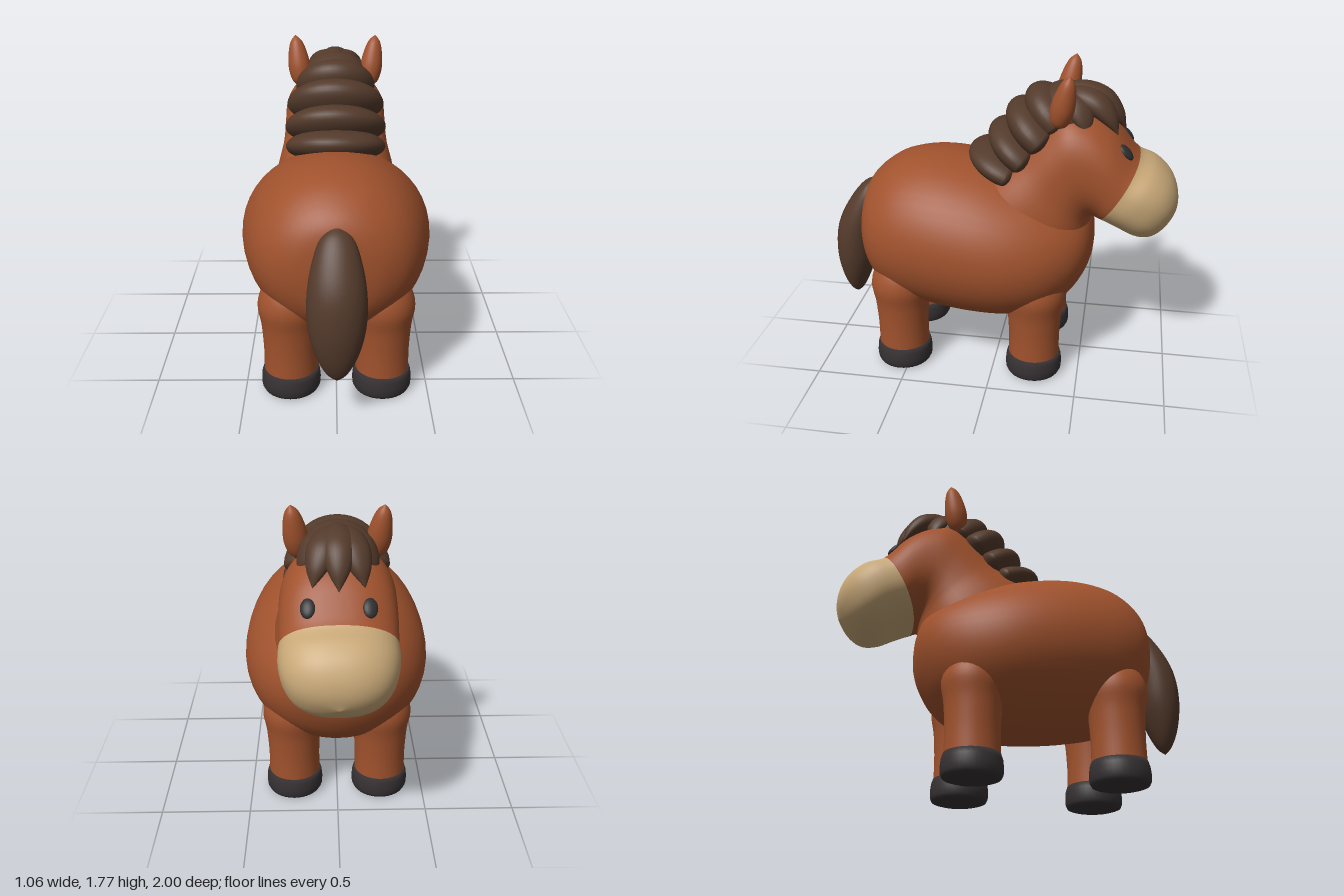
import * as THREE from 'three';

const mat = (name, color, side = THREE.FrontSide) => {
  const m = new THREE.MeshStandardMaterial({ color, side });
  m.name = name;
  return m;
};

// Loft through mirrored cross-sections [zTop, yTop, zBottom, yBottom, halfWidth].
// power < 1 makes the sections squarer; splitAt starts a second material group.
function loft(sections, { power = 1, splitAt = 0, steps = 5, sides = 36 } = {}) {
  const top = new THREE.CatmullRomCurve3(sections.map(s => new THREE.Vector3(s[4], s[1], s[0])));
  const bottom = new THREE.CatmullRomCurve3(sections.map(s => new THREE.Vector3(s[4], s[3], s[2])));
  const rings = (sections.length - 1) * steps;
  const bend = v => Math.sign(v) * Math.abs(v) ** power;
  const pos = [], index = [];
  for (let i = 0; i <= rings; i++) {
    const a = top.getPoint(i / rings), b = bottom.getPoint(i / rings);
    const w = Math.max(0, (a.x + b.x) / 2);
    for (let j = 0; j < sides; j++) {
      const t = (j / sides) * Math.PI * 2;
      const c = bend(Math.cos(t)), s = bend(Math.sin(t));
      pos.push(w * s, (a.y + b.y) / 2 + c * (a.y - b.y) / 2, (a.z + b.z) / 2 + c * (a.z - b.z) / 2);
      if (i < rings) {
        const k = (j + 1) % sides, p = i * sides, q = p + sides;
        index.push(p + j, p + k, q + j, p + k, q + k, q + j);
      }
    }
  }
  const g = new THREE.BufferGeometry();
  g.setAttribute('position', new THREE.Float32BufferAttribute(pos, 3));
  g.setIndex(index);
  g.computeVertexNormals();
  if (splitAt) {
    const cut = splitAt * steps * sides * 6;
    g.addGroup(0, cut, 0);
    g.addGroup(cut, index.length - cut, 1);
  }
  return g;
}

// Smooth lathe through [radius, y] points
function turned(points, smooth = true) {
  let pts = points.map(p => new THREE.Vector2(...p));
  if (smooth) pts = new THREE.SplineCurve(pts).getPoints(24).map(p => p.set(Math.max(0, p.x), p.y));
  return new THREE.LatheGeometry(pts, 36);
}

export function createModel() {
  const root = new THREE.Group();
  root.name = 'pony';
  const hide = mat('chestnut hide', 0xa0522d);
  const hair = mat('dark brown hair', 0x533a2b);
  const tan = mat('tan muzzle', 0xc8a878);
  const hoofMat = mat('charcoal hoof', 0x363133);
  const eyeMat = mat('dark eye', 0x2e2e30);

  const add = (name, geometry, material, parent = root) => {
    const m = new THREE.Mesh(geometry, material);
    m.name = name;
    parent.add(m);
    return m;
  };

  // Barrel body, rump to chest: [z, yTop, yBottom, halfWidth]
  const body = [
    [0.795, 0.8, 0.8, 0], [0.785, 0.93, 0.68, 0.14], [0.755, 1.05, 0.55, 0.26],
    [0.68, 1.14, 0.45, 0.37], [0.55, 1.22, 0.37, 0.45], [0.35, 1.255, 0.325, 0.505],
    [0.1, 1.23, 0.3, 0.53], [-0.1, 1.18, 0.305, 0.515], [-0.28, 1.12, 0.35, 0.455],
    [-0.42, 1.05, 0.45, 0.36], [-0.5, 0.97, 0.57, 0.26], [-0.54, 0.87, 0.68, 0.14],
    [-0.55, 0.78, 0.78, 0],
  ].map(([z, t, b, w]) => [z, t, z, b, w]);
  add('body', loft(body, { sides: 48 }), hide);

  // Neck, head and muzzle in one skin, the muzzle in tan
  const head = [
    [0.2, 1.08, -0.46, 0.72, 0.36], [0.05, 1.2, -0.52, 0.83, 0.34],
    [-0.1, 1.32, -0.53, 0.92, 0.31], [-0.24, 1.47, -0.535, 0.94, 0.3],
    [-0.36, 1.56, -0.54, 0.94, 0.3], [-0.5, 1.54, -0.545, 0.94, 0.3],
    [-0.63, 1.46, -0.55, 0.94, 0.3], [-0.775, 1.3, -0.56, 0.94, 0.3],
    [-0.87, 1.26, -0.65, 0.9, 0.3], [-0.945, 1.195, -0.745, 0.85, 0.275],
    [-0.985, 1.12, -0.825, 0.835, 0.225], [-0.998, 1.04, -0.9, 0.865, 0.14],
    [-0.98, 0.95, -0.98, 0.95, 0],
  ];
  add('head', loft(head, { power: 0.87, splitAt: 7, sides: 48 }), [hide, tan]);

  // Tail
  const tail = [
    [0.73, 1.06, 0.73, 1.06, 0], [0.71, 0.98, 0.81, 1.02, 0.08], [0.72, 0.86, 0.9, 0.91, 0.125],
    [0.745, 0.7, 0.975, 0.76, 0.15], [0.765, 0.54, 0.998, 0.58, 0.145], [0.81, 0.41, 0.975, 0.41, 0.105],
    [0.86, 0.31, 0.935, 0.31, 0.05], [0.9, 0.27, 0.9, 0.27, 0],
  ];
  add('tail', loft(tail), hair);

  // Legs and hooves
  const legShape = turned([[0.147, 0.12], [0.146, 0.25], [0.155, 0.4], [0.172, 0.52], [0.14, 0.62], [0.07, 0.68], [0, 0.69]]);
  const hoofShape = turned([[0, 0], [0.13, 0], [0.152, 0.007], [0.161, 0.025], [0.163, 0.06],
    [0.159, 0.1], [0.15, 0.13], [0, 0.131]], false);
  for (const [end, z] of [['front', -0.24], ['back', 0.54]]) {
    for (const [side, x] of [['Left', -0.25], ['Right', 0.25]]) {
      const leg = new THREE.Group();
      leg.name = `${end}${side}Leg`;
      leg.position.set(x, 0, z);
      add('leg', legShape, hide, leg);
      add('hoof', hoofShape, hoofMat, leg);
      root.add(leg);
    }
  }

  // Mane layers wrap the back of the neck: side end [z, y], back end [z, y], half-width, half-thickness
  [
    [-0.06, 1.2, 0.14, 1.275, 0.285, 0.1],
    [-0.14, 1.29, 0.025, 1.405, 0.29, 0.11],
    [-0.23, 1.4, -0.075, 1.53, 0.28, 0.12],
    [-0.31, 1.49, -0.18, 1.62, 0.23, 0.12],
  ].forEach(([z0, y0, z1, y1, w, h], i) => {
    const g = new THREE.SphereGeometry(1, 40, 24);
    const p = g.attributes.position;
    for (let k = 0; k < p.count; k++) if (p.getZ(k) < 0) p.setZ(k, p.getZ(k) * 0.3);
    g.scale(w, h, Math.hypot(z1 - z0, y1 - y0) + 0.03);
    g.computeVertexNormals();
    const layer = add(`maneLayer${i + 1}`, g, hair);
    layer.position.set(0, y0, z0);
    layer.rotation.x = -Math.atan2(y1 - y0, z1 - z0);
  });
  const crown = add('maneCrown', new THREE.SphereGeometry(1, 36, 24), hair);
  crown.scale.set(0.2, 0.17, 0.17);
  crown.position.set(0, 1.51, -0.36);

  // Forelock strands fanned from the crown
  const lock = loft([
    [0.05, 0.1, 0.05, 0.1, 0], [-0.02, 0.175, 0, 0.02, 0.06], [-0.14, 0.185, -0.12, 0.05, 0.085],
    [-0.25, 0.14, -0.2, 0.02, 0.08], [-0.32, 0.04, -0.27, -0.02, 0.05], [-0.34, -0.07, -0.34, -0.07, 0],
  ], { sides: 24 });
  for (const [angle, length, height] of [[0, 1, 1], [0.4, 0.96, 0.93], [-0.4, 0.96, 0.93], [0.95, 0.72, 0.8], [-0.95, 0.72, 0.8]]) {
    const strand = add('forelockStrand', lock, hair);
    strand.position.set(0, 1.5, -0.35);
    strand.rotation.y = angle;
    strand.scale.set(1, height, length);
  }

  // Ears and eyes
  const earShape = turned([[0, 0], [0.045, 0.03], [0.063, 0.1], [0.057, 0.18], [0.035, 0.26], [0, 0.3]]);
  const eyeShape = new THREE.SphereGeometry(1, 24, 16);
  for (const [side, s] of [['left', -1], ['right', 1]]) {
    const ear = add(`${side}Ear`, earShape, hide);
    ear.position.set(s * 0.195, 1.48, -0.335);
    ear.rotation.set(-0.2, 0, -s * 0.13);
    const eye = add(`${side}Eye`, eyeShape, eyeMat);
    eye.scale.set(0.038, 0.02, 0.052);
    eye.position.set(s * 0.15, 1.352, -0.697);
    eye.rotation.set(-0.83, 0, -s * 0.2);
  }
  return root;
}
